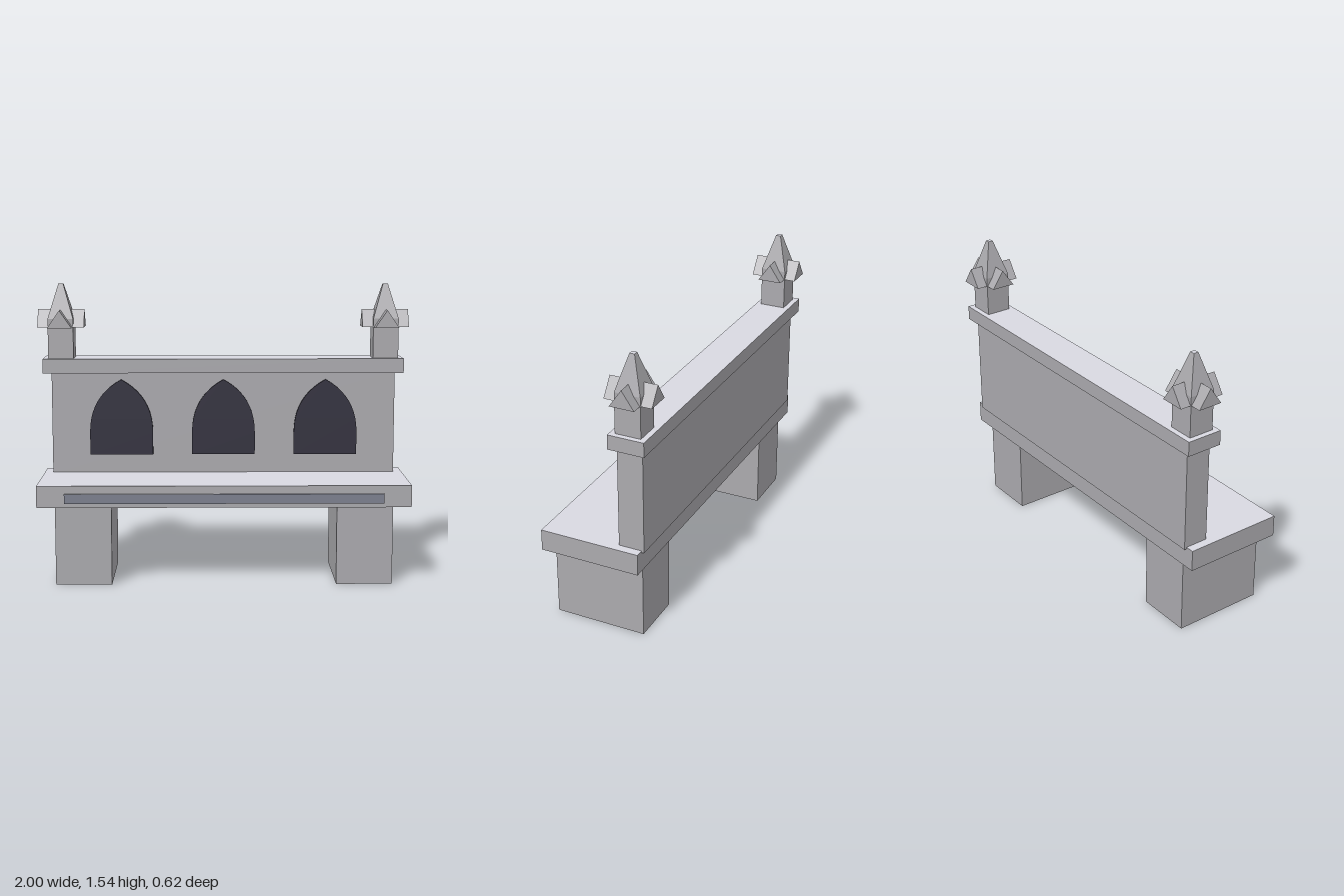
import * as THREE from 'three';

const stone = new THREE.MeshStandardMaterial({ name: 'stone', color: 0xabaaae });
const paleStone = new THREE.MeshStandardMaterial({ name: 'pale stone', color: 0xd9d9e2 });
const recess = new THREE.MeshStandardMaterial({ name: 'dark recess', color: 0x32303e });
const slate = new THREE.MeshStandardMaterial({ name: 'slate trim', color: 0x7c808e });

// Box face materials with a pale upper face
const paleTop = (side) => [side, side, paleStone, side, side, side];

function add(parent, name, geometry, material = stone) {
  const mesh = new THREE.Mesh(geometry, material);
  mesh.name = name;
  parent.add(mesh);
  return mesh;
}

// Box given by its limits on each axis
function block(parent, name, [x0, x1], [y0, y1], [z0, z1], material) {
  const mesh = add(parent, name, new THREE.BoxGeometry(x1 - x0, y1 - y0, z1 - z0), material);
  mesh.position.set((x0 + x1) / 2, (y0 + y1) / 2, (z0 + z1) / 2);
  return mesh;
}

// Pointed arch plate, base on y = 0
function archGeometry(half, spring, height, depth) {
  const s = new THREE.Shape();
  s.moveTo(-half, 0);
  s.lineTo(half, 0);
  s.lineTo(half, spring);
  s.quadraticCurveTo(half, spring + (height - spring) * 0.68, 0, height);
  s.quadraticCurveTo(-half, spring + (height - spring) * 0.68, -half, spring);
  return new THREE.ExtrudeGeometry(s, { depth, bevelEnabled: false, curveSegments: 10 });
}

// Gabled bar running along z, centred, base on y = 0
function gableGeometry(half, height, length) {
  const s = new THREE.Shape([
    new THREE.Vector2(-half, 0), new THREE.Vector2(half, 0), new THREE.Vector2(0, height),
  ]);
  return new THREE.ExtrudeGeometry(s, { depth: length, bevelEnabled: false }).translate(0, 0, -length / 2);
}

// Square post with crossed gables and a tapering spire
function makePinnacle() {
  const g = new THREE.Group();
  block(g, 'pinnaclePost', [-0.068, 0.068], [1.14, 1.36], [-0.068, 0.068]);
  const spire = new THREE.CylinderGeometry(0.013 * Math.SQRT2, 0.068 * Math.SQRT2, 0.185, 4).toNonIndexed();
  spire.rotateY(Math.PI / 4);
  spire.computeVertexNormals();
  add(g, 'spire', spire, [stone, paleStone, stone]).position.y = 1.4525;
  for (const turn of [0, Math.PI / 2]) {
    const gable = add(g, 'crossGable', gableGeometry(0.065, 0.094, 0.25));
    gable.position.y = 1.314;
    gable.rotation.y = turn;
  }
  return g;
}

export function createModel() {
  const model = new THREE.Group();
  model.name = 'gothicBench';

  // Seat, back and top rail
  block(model, 'seat', [-0.97, 0.97], [0.413, 0.527], [-0.237, 0.298], paleTop(stone));
  block(model, 'backrest', [-0.925, 0.925], [0.517, 1.08], [-0.25, -0.114]);
  block(model, 'topRail', [-0.97, 0.97], [1.07, 1.147], [-0.28, -0.088], paleTop(stone));
  block(model, 'frontTrim', [-0.826, 0.826], [0.436, 0.486], [0.29, 0.311], paleTop(slate));

  // Legs and pinnacles, one at each end
  for (const side of [-1, 1]) {
    block(model, side > 0 ? 'leftLeg' : 'rightLeg',
      [side * 0.731 - 0.146, side * 0.731 + 0.146], [0, 0.42], [-0.216, 0.273]);
    const pinnacle = makePinnacle();
    pinnacle.name = side > 0 ? 'leftPinnacle' : 'rightPinnacle';
    pinnacle.position.set(side * 0.874, 0, -0.183);
    model.add(pinnacle);
  }

  // Dark pointed arches on the front of the backrest
  for (const x of [-0.551, 0, 0.551]) {
    add(model, 'archPanel', archGeometry(0.17, 0.12, 0.407, 0.018), recess).position.set(x, 0.627, -0.117);
  }
  return model;
}
